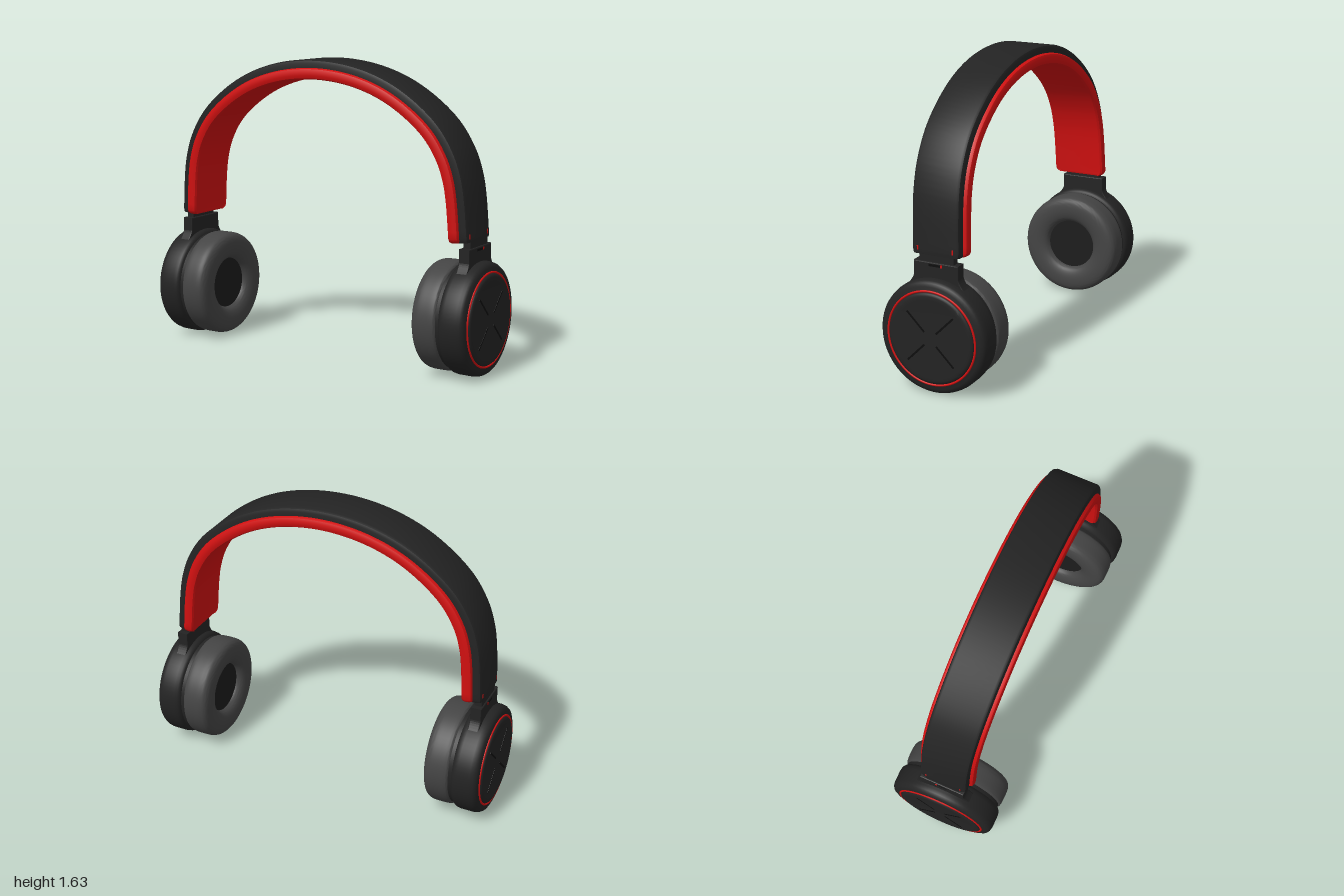
import * as THREE from 'three';
import { toCreasedNormals } from 'three/addons/utils/BufferGeometryUtils.js';
import { RoundedBoxGeometry } from 'three/addons/geometries/RoundedBoxGeometry.js';

const mat = (name, color) => {
  const m = new THREE.MeshStandardMaterial({ color });
  m.name = name;
  return m;
};

const CUP_Y = 0.31; // height of the ear cup axis

// Outer line of the headband, from the left end over the top to the right end
const half = [[0.925, 0.73], [0.908, 0.95], [0.89, 1.06], [0.845, 1.19], [0.74, 1.345], [0.52, 1.512], [0.28, 1.606]];
const bandCurve = new THREE.CatmullRomCurve3([
  ...half.map(([x, y]) => new THREE.Vector3(x, y, 0)),
  new THREE.Vector3(0, 1.64, 0),
  ...half.slice().reverse().map(([x, y]) => new THREE.Vector3(-x, y, 0)),
]);

// Sweep a closed section of [z, inward offset] along the band, with softened ends.
// The band leans slightly forward towards the top.
function sweepBand(section, endScale) {
  const us = [0, 0.003, 0.008];
  for (let i = 1; i < 80; i++) us.push(0.008 + (0.984 * i) / 80);
  us.push(0.992, 0.997, 1);
  const midN = section.reduce((s, p) => s + p[1], 0) / section.length;
  const m = section.length, pos = [], idx = [];
  us.forEach((u) => {
    const p = bandCurve.getPointAt(u), t = bandCurve.getTangentAt(u);
    const e = Math.min(u, 1 - u);
    const k = e < 0.001 ? endScale : e < 0.005 ? (endScale + 2) / 3 : 1;
    const lean = 0.006 + (0.027 * (p.y - 0.73)) / 0.91;
    for (const [z, n] of section) {
      const d = midN + (n - midN) * k;
      pos.push(p.x - t.y * d, p.y + t.x * d, z * k + lean);
    }
  });
  for (let i = 0; i < us.length - 1; i++) {
    for (let j = 0; j < m; j++) {
      const a = i * m + j, d = i * m + ((j + 1) % m);
      idx.push(a, a + m, d + m, a, d + m, d);
    }
  }
  const last = (us.length - 1) * m;
  for (let j = 1; j < m - 1; j++) {
    idx.push(0, j, j + 1, last, last + j + 1, last + j);
  }
  const g = new THREE.BufferGeometry();
  g.setAttribute('position', new THREE.Float32BufferAttribute(pos, 3));
  g.setIndex(idx);
  return toCreasedNormals(g, 0.6);
}

// Turned part around the x axis from [radius, x] points
function turned(points, crease = 0.7) {
  const g = new THREE.LatheGeometry(points.map(([r, x]) => new THREE.Vector2(r, x)), 72);
  g.rotateZ(-Math.PI / 2);
  return toCreasedNormals(g, crease);
}

export function createModel() {
  const black = mat('black plastic', 0x232323);
  const red = mat('red', 0xd01010);
  const grey = mat('grey leather', 0x444444);
  const mesh = mat('dark speaker cloth', 0x1c1c1c);
  const groove = mat('groove black', 0x0d0d0d);

  const model = new THREE.Group();
  const add = (parent, name, geometry, material, x = 0, y = 0, z = 0) => {
    const part = new THREE.Mesh(geometry, material);
    part.name = name;
    part.position.set(x, y, z);
    parent.add(part);
    return part;
  };

  // Headband: bevelled black shell and padded red lining
  add(model, 'headbandShell', sweepBand([
    [-0.118, 0], [0.118, 0], [0.13, 0.006], [0.136, 0.02], [0.136, 0.052],
    [-0.136, 0.052], [-0.136, 0.02], [-0.13, 0.006],
  ], 0.95), black);
  add(model, 'headbandLining', sweepBand([
    [-0.14, 0.044], [0.14, 0.044], [0.152, 0.05], [0.158, 0.064], [0.158, 0.084], [0.152, 0.099],
    [0.141, 0.105], [0.13, 0.1], [-0.13, 0.1], [-0.141, 0.105],
    [-0.152, 0.099], [-0.158, 0.084], [-0.158, 0.064], [-0.152, 0.05],
  ], 0.86), red);

  // Neck outline, flaring into the cup
  const neckShape = new THREE.Shape();
  neckShape.moveTo(-0.2, 0.52);
  neckShape.lineTo(0.2, 0.52);
  neckShape.quadraticCurveTo(0.13, 0.585, 0.123, 0.62);
  neckShape.lineTo(0.123, 0.69);
  neckShape.lineTo(-0.123, 0.69);
  neckShape.lineTo(-0.123, 0.62);
  neckShape.quadraticCurveTo(-0.13, 0.585, -0.2, 0.52);
  const neckGeo = new THREE.ExtrudeGeometry(neckShape, {
    depth: 0.052, bevelSize: 0.005, bevelThickness: 0.005, bevelSegments: 2, curveSegments: 8,
  });
  neckGeo.translate(0, 0, -0.026).rotateY(Math.PI / 2);

  // Rounded cushion profile
  const cushionPoints = new THREE.SplineCurve([
    [0.14, 0.74], [0.146, 0.705], [0.165, 0.682], [0.205, 0.67], [0.25, 0.671], [0.28, 0.683],
    [0.294, 0.71], [0.296, 0.76], [0.294, 0.8], [0.284, 0.818], [0.25, 0.822],
  ].map(([r, x]) => new THREE.Vector2(r, x))).getPoints(40).map((p) => [p.x, p.y]);

  for (const side of [1, -1]) {
    const ear = new THREE.Group();
    ear.name = side > 0 ? 'leftEarpiece' : 'rightEarpiece';
    if (side < 0) ear.rotation.y = Math.PI;
    model.add(ear);

    // Hinge between the band and the cup
    add(ear, 'hingeNeck', neckGeo, black, 0.9);
    add(ear, 'hingeSlider', new RoundedBoxGeometry(0.044, 0.1, 0.2, 3, 0.008), black, 0.901, 0.71);
    add(ear, 'hingeSlot', new THREE.BoxGeometry(0.004, 0.012, 0.07), groove, 0.931, 0.68, 0.005);
    add(ear, 'hingeMark', new THREE.BoxGeometry(0.005, 0.014, 0.012), red, 0.931, 0.68, -0.032 * side);
    for (const z of [-0.1, 0.1]) {
      add(ear, 'bandPin', new THREE.BoxGeometry(0.006, 0.024, 0.008), red, 0.921, 0.76, z + 0.007 * side);
    }

    // Cup shell, raised cap and red ring
    add(ear, 'cupShell', turned([
      [0, 0.836], [0.275, 0.836], [0.293, 0.842], [0.302, 0.855], [0.305, 0.875], [0.305, 0.945],
      [0.301, 0.965], [0.292, 0.979], [0.275, 0.986], [0, 0.986],
    ]), black, 0, CUP_Y);
    add(ear, 'cupCap', turned([
      [0.246, 0.98], [0.245, 0.988], [0.24, 0.995], [0.228, 0.999], [0.21, 0.998], [0, 0.998],
    ]), black, 0, CUP_Y);
    const ring = add(ear, 'cupRing', new THREE.TorusGeometry(0.251, 0.006, 8, 72), red, 0.987, CUP_Y);
    ring.rotation.y = Math.PI / 2;

    // Four diagonal grooves on the cap
    for (let i = 0; i < 4; i++) {
      const a = Math.PI / 4 + (i * Math.PI) / 2;
      const line = add(ear, 'capGroove', new THREE.BoxGeometry(0.004, 0.14, 0.01), groove,
        0.9975, CUP_Y + 0.118 * Math.cos(a), 0.118 * Math.sin(a));
      line.rotation.x = a;
    }

    // Joint, cushion and speaker cloth
    add(ear, 'cushionJoint', turned([[0.282, 0.81], [0.282, 0.845]]), black, 0, CUP_Y);
    add(ear, 'earCushion', turned(cushionPoints, 1.0), grey, 0, CUP_Y);
    add(ear, 'speakerCloth', turned([[0, 0.712], [0.16, 0.712]]), mesh, 0, CUP_Y);
  }
  return model;
}
